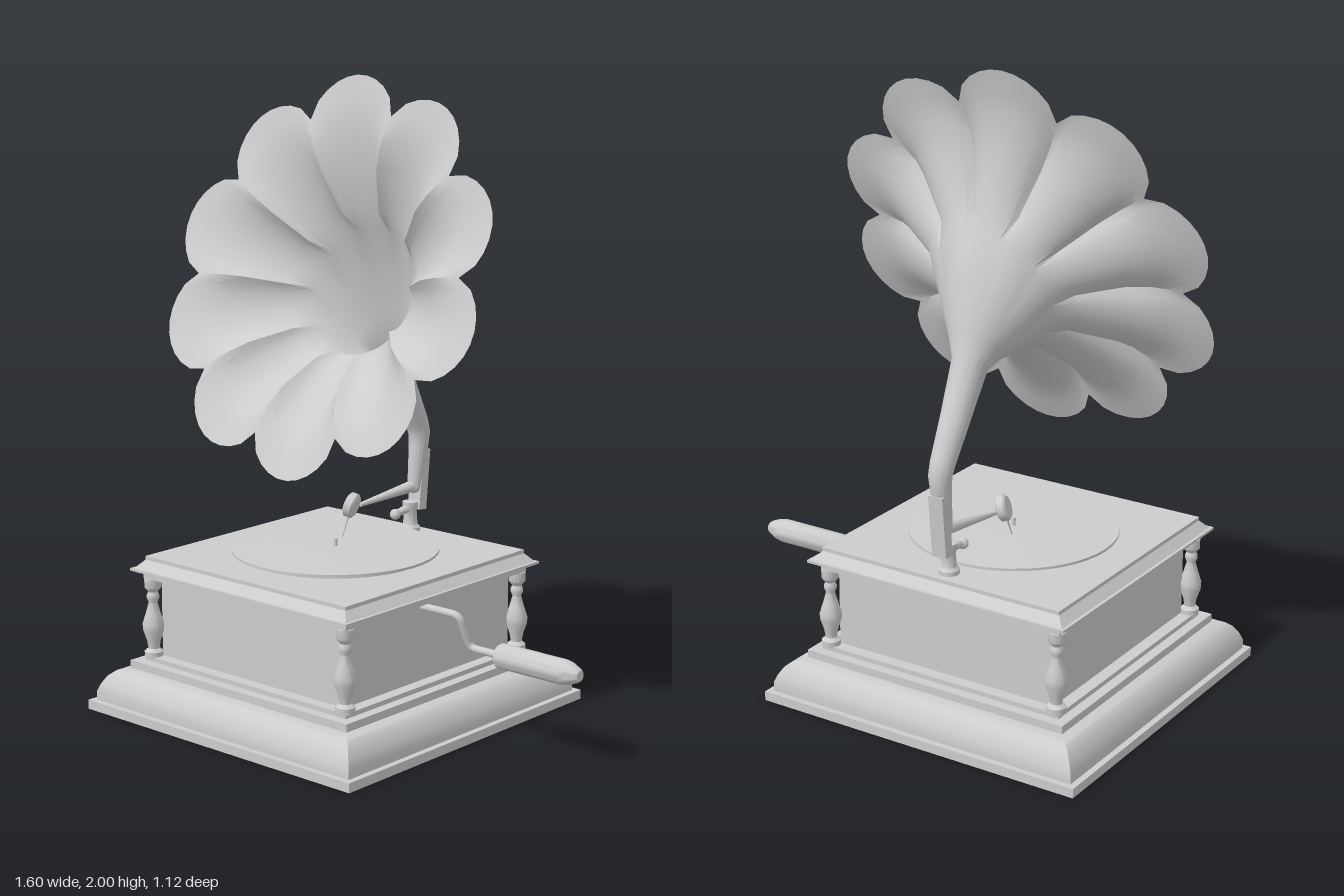
import * as THREE from 'three';
import { toCreasedNormals } from 'three/addons/utils/BufferGeometryUtils.js';

const CX = -0.16; // the cabinet sits left of centre because the crank sticks out

export function createModel() {
  const model = new THREE.Group();
  model.name = 'gramophone';
  const grey = new THREE.MeshStandardMaterial({ color: 0xcccccc, side: THREE.DoubleSide });
  grey.name = 'light grey';

  const add = (name, geometry, x = 0, y = 0, z = 0, parent = model) => {
    const mesh = new THREE.Mesh(geometry, grey);
    mesh.name = name;
    mesh.position.set(x, y, z);
    parent.add(mesh);
    return mesh;
  };
  const V = (x, y, z) => new THREE.Vector3(x, y, z);
  const points = (list) => list.map(([r, y]) => new THREE.Vector2(r, y));
  const turned = (profile, sides = 24) => toCreasedNormals(new THREE.LatheGeometry(points(profile), sides), 0.7);

  // Square moulding: [half width, height] pairs turned with four sides
  const squareMoulding = (profile) => {
    const pts = points(profile.map(([h, y]) => [h * Math.SQRT2, y]));
    return toCreasedNormals(new THREE.LatheGeometry(pts, 4, Math.PI / 4), 0.45);
  };
  // Straight tapered rod between two points
  const rod = (name, p, q, r1, r2, sides = 16) => {
    const mesh = add(name, new THREE.CylinderGeometry(r2, r1, p.distanceTo(q), sides));
    mesh.position.copy(p).lerp(q, 0.5);
    mesh.quaternion.setFromUnitVectors(V(0, 1, 0), q.clone().sub(p).normalize());
    return mesh;
  };

  // Cabinet
  add('basePlinth', squareMoulding([
    [0, 0], [0.56, 0], [0.56, 0.03], [0.54, 0.03], [0.54, 0.06], [0.53, 0.085], [0.515, 0.11],
    [0.495, 0.127], [0.47, 0.135], [0.463, 0.135], [0.463, 0.16], [0.43, 0.16], [0.43, 0.175], [0, 0.175],
  ]), CX);
  add('cabinetBody', new THREE.BoxGeometry(0.78, 0.27, 0.78), CX, 0.305, 0);
  add('cabinetLid', squareMoulding([
    [0, 0.43], [0.43, 0.43], [0.43, 0.455], [0.46, 0.455], [0.46, 0.463], [0.45, 0.463],
    [0.425, 0.49], [0.425, 0.502], [0, 0.502],
  ]), CX);

  // Turned corner posts
  const baluster = [
    [0, 0.17], [0.03, 0.17], [0.03, 0.19], [0.018, 0.2], [0.022, 0.225], [0.034, 0.26], [0.035, 0.28],
    [0.024, 0.315], [0.014, 0.35], [0.02, 0.365], [0.02, 0.375], [0.015, 0.385], [0.027, 0.4],
    [0.027, 0.43], [0, 0.43],
  ];
  for (const sx of [-1, 1]) for (const sz of [-1, 1]) {
    add('cornerPost', turned(baluster, 14), CX + sx * 0.41, 0, sz * 0.41);
  }

  // Turntable and spindle
  add('turntable', turned([[0, 0.502], [0.3, 0.502], [0.3, 0.512], [0.33, 0.514], [0.33, 0.522], [0.1, 0.525], [0, 0.525]], 48), CX);
  add('spindle', new THREE.CylinderGeometry(0.006, 0.006, 0.03, 10), CX, 0.535, 0);

  // Crank rod with two bends, and its grip
  const crankPath = new THREE.CurvePath();
  const corners = [V(0.2, 0.41, 0.035), V(0.375, 0.41, 0.035), V(0.385, 0.3, -0.008), V(0.52, 0.3, -0.008)];
  let from = corners[0];
  for (let i = 1; i < 3; i++) {
    const c = corners[i];
    const a = c.clone().add(corners[i - 1].clone().sub(c).setLength(0.025));
    const b = c.clone().add(corners[i + 1].clone().sub(c).setLength(0.025));
    crankPath.add(new THREE.LineCurve3(from, a));
    crankPath.add(new THREE.QuadraticBezierCurve3(a, c, b));
    from = b;
  }
  crankPath.add(new THREE.LineCurve3(from, corners[3]));
  add('crankRod', new THREE.TubeGeometry(crankPath, 60, 0.012, 12));
  const grip = add('crankGrip', turned([
    [0, 0], [0.035, 0], [0.039, 0.006], [0.039, 0.24], [0.034, 0.265], [0.022, 0.293], [0.016, 0.3], [0, 0.3],
  ]), 0.5, 0.3, -0.008);
  grip.rotation.z = -Math.PI / 2;

  // Horn: rings swept from the flower rim back into the neck and down to the arm.
  // Each ring: centre y, centre z, tilt, petal tip radius, valley radius, forward push at valleys
  const tilt = 0.363, axisY = Math.sin(tilt), axisZ = Math.cos(tilt);
  const bell = (t, tip, valley, cup) => [1.395 + t * axisY, 0.05 + t * axisZ, tilt, tip, valley, cup];
  const rings = [
    bell(0, 0.645, 0.53, 0.0),
    bell(-0.008, 0.58, 0.485, 0.01),
    bell(-0.022, 0.5, 0.43, 0.015),
    bell(-0.07, 0.405, 0.36, 0.035),
    bell(-0.15, 0.255, 0.243, 0.025),
    bell(-0.2, 0.205, 0.203, 0),
    [1.245, -0.18, 0.56, 0.145, 0.143, 0],
    [1.175, -0.228, 0.8, 0.085, 0.085, 0],
    [1.13, -0.256, 0.97, 0.056, 0.056, 0],
    [0.99, -0.33, 1.08, 0.046, 0.046, 0],
    [0.86, -0.402, 1.12, 0.038, 0.038, 0],
    [0.825, -0.414, 1.4, 0.036, 0.036, 0],
    [0.78, -0.41, 1.7, 0.032, 0.032, 0],
    [0.64, -0.388, 1.74, 0.022, 0.022, 0],
  ];
  const petals = 10, perPetal = 10, n = petals * perPetal;
  const phase = THREE.MathUtils.degToRad(95);
  const pos = [], index = [];
  rings.forEach(([cy, cz, a, tip, valley, cup], i) => {
    for (let j = 0; j < n; j++) {
      const th = phase + (j / n) * Math.PI * 2;
      const w = Math.pow(Math.abs(Math.cos((th - phase) * petals / 2)), 0.65);
      const r = valley + (tip - valley) * w, u = r * Math.sin(th), t = cup * (1 - w);
      pos.push(CX - 0.005 + r * Math.cos(th),
        cy + u * Math.cos(a) + t * Math.sin(a),
        cz - u * Math.sin(a) + t * Math.cos(a));
      if (i < rings.length - 1) {
        const p = i * n + j, q = i * n + (j + 1) % n;
        index.push(p, p + n, q, q, p + n, q + n);
      }
    }
  });
  const horn = new THREE.BufferGeometry();
  horn.setAttribute('position', new THREE.Float32BufferAttribute(pos, 3));
  horn.setIndex(index);
  add('horn', toCreasedNormals(horn, 0.55));

  // Tone arm: bracket, pivot post, needle arm and sound box
  const X = CX - 0.005;
  const bracket = add('hornBracket', new THREE.BoxGeometry(0.05, 0.2, 0.035), X, 0.67, -0.414);
  bracket.rotation.x = -0.1;
  add('pivotPost', turned([
    [0, 0.5], [0.033, 0.5], [0.033, 0.515], [0.024, 0.525], [0.021, 0.57], [0.026, 0.58], [0.026, 0.6], [0, 0.605],
  ]), X, 0, -0.37);
  rod('pivotBar', V(X, 0.585, -0.42), V(X, 0.572, -0.3), 0.018, 0.011);
  add('pivotKnob', new THREE.SphereGeometry(0.018, 14, 10), X, 0.57, -0.295);
  rod('needleArm', V(X, 0.65, -0.39), V(X - 0.025, 0.625, -0.15), 0.02, 0.007);
  add('armElbow', new THREE.SphereGeometry(0.023, 14, 10), X, 0.648, -0.388);
  const soundBox = add('soundBox', turned([
    [0, -0.016], [0.034, -0.016], [0.041, -0.01], [0.041, 0.01], [0.034, 0.016], [0, 0.016],
  ]), X - 0.03, 0.63, -0.115);
  soundBox.rotation.set(0, 0.35, Math.PI / 2 - 0.3);
  rod('needle', V(X - 0.03, 0.6, -0.1), V(X - 0.035, 0.53, -0.075), 0.004, 0.002, 8);

  return model;
}
